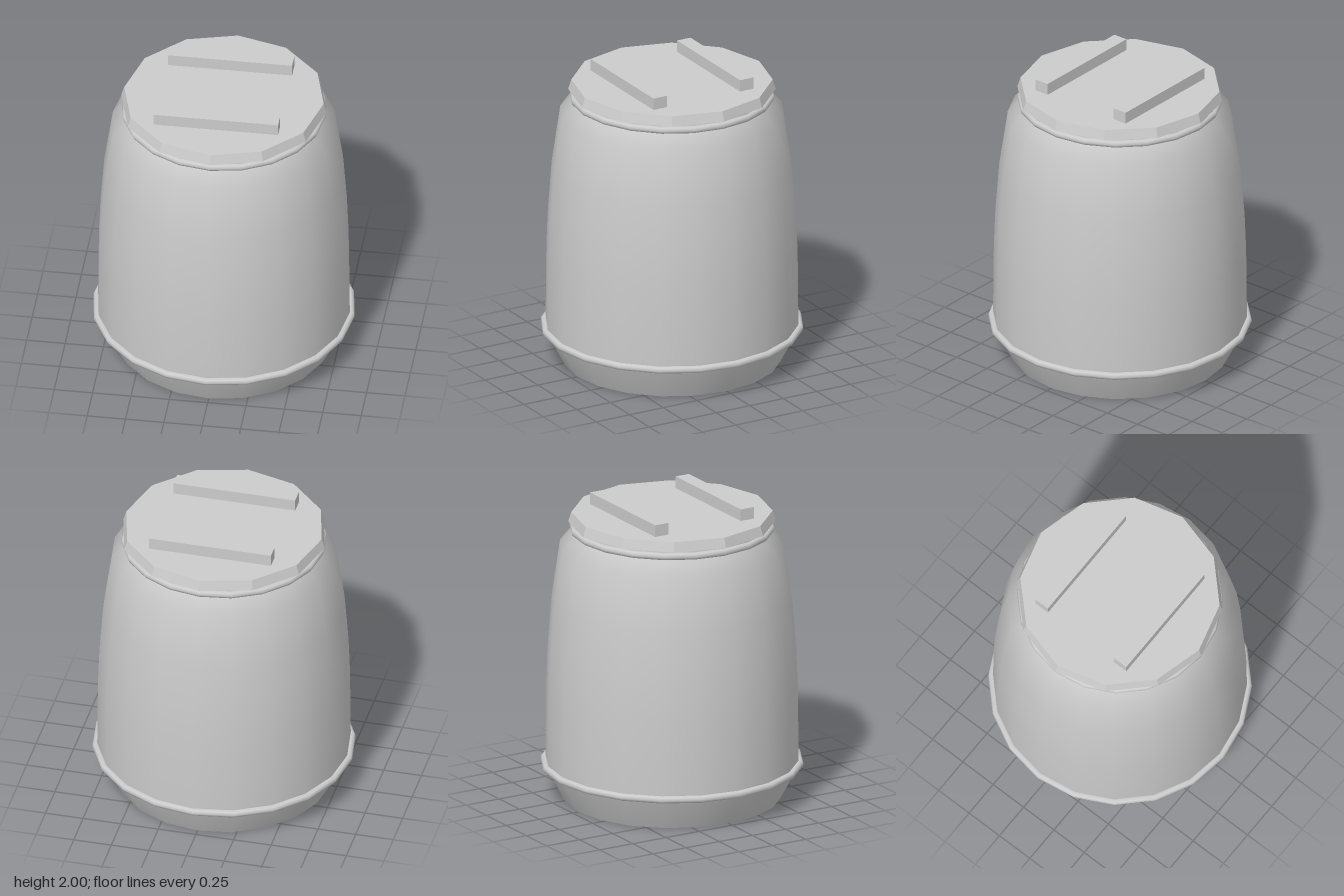
import * as THREE from 'three';

const SIDES = 20;

export function createModel() {
  const group = new THREE.Group();
  const smooth = new THREE.MeshStandardMaterial({ color: 0xcccccc });
  const flat = new THREE.MeshStandardMaterial({ color: 0xcccccc, flatShading: true });

  const add = (name, geometry, material, y = 0, z = 0) => {
    const mesh = new THREE.Mesh(geometry, material);
    mesh.name = name;
    mesh.position.set(0, y, z);
    group.add(mesh);
    return mesh;
  };

  // Barrel wall: tapered foot, gently bulging side, shoulder and neck
  const profile = [
    [0.705, 0], [0.805, 0.19], [0.82, 0.26], [0.815, 0.75], [0.805, 1],
    [0.78, 1.33], [0.725, 1.71], [0.645, 1.79], [0.64, 1.86],
  ].map(([r, y]) => new THREE.Vector2(r, y));
  add('barrelWall', new THREE.LatheGeometry(profile, SIDES), smooth);

  // Flat base
  add('barrelBase', new THREE.CircleGeometry(0.705, SIDES), flat).rotation.x = Math.PI / 2;

  // Rounded hoops at the foot and the neck
  const hoop = (name, radius, y) => {
    const geometry = new THREE.TorusGeometry(radius, 0.025, 8, SIDES);
    add(name, geometry.rotateX(Math.PI / 2), smooth, y);
  };
  hoop('lowerHoop', 0.827, 0.23);
  hoop('neckHoop', 0.64, 1.82);

  // Twelve-sided lid with two grip bars
  add('lid', new THREE.CylinderGeometry(0.65, 0.67, 0.065, 12), flat, 1.889);
  for (const side of [1, -1]) {
    add(side > 0 ? 'frontGripBar' : 'backGripBar',
      new THREE.BoxGeometry(0.81, 0.09, 0.1), flat, 1.955, side * 0.323);
  }

  return group;
}
